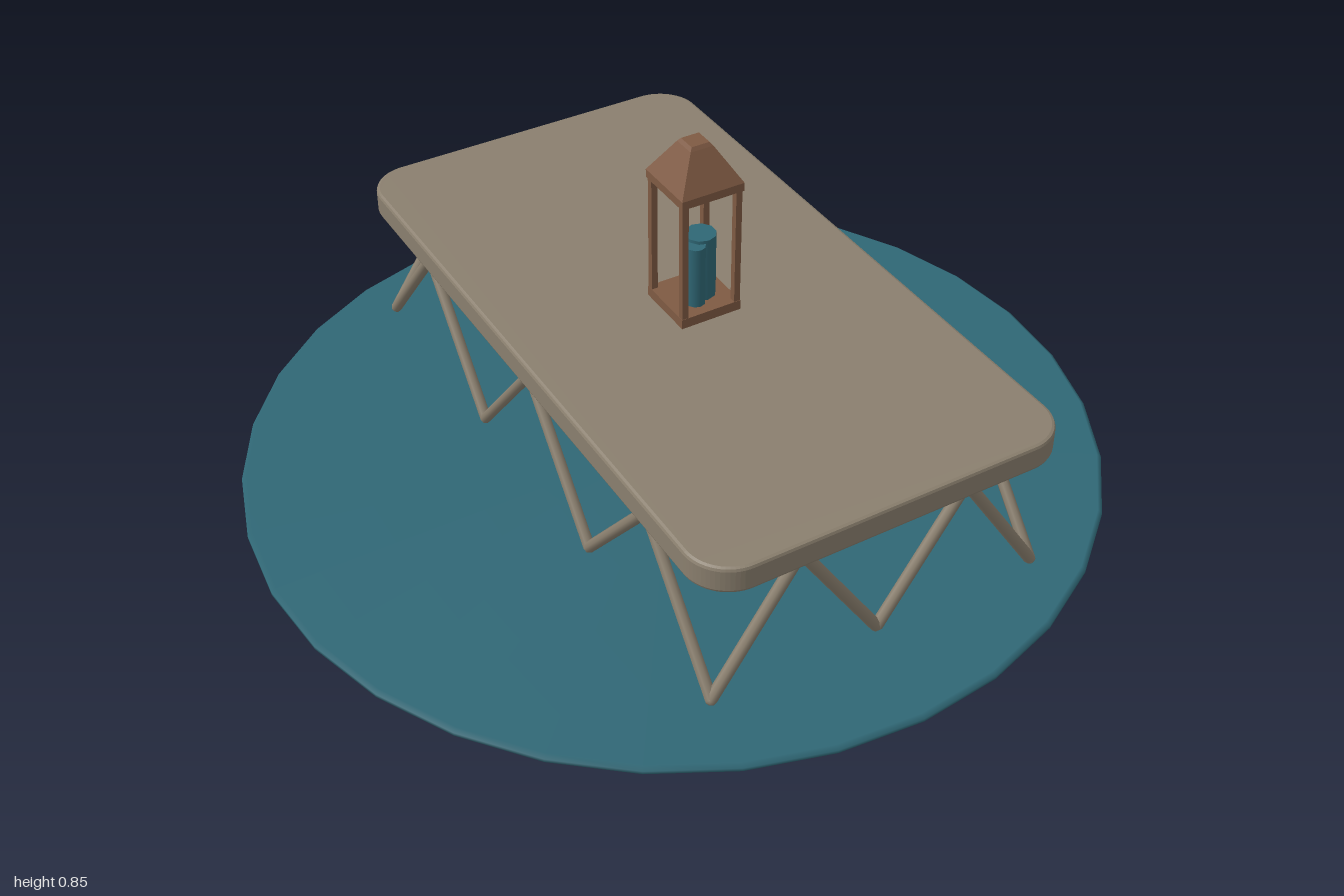
import * as THREE from 'three';

const material = (name, color) => {
  const m = new THREE.MeshStandardMaterial({ color });
  m.name = name;
  return m;
};

export function createModel() {
  const teal = material('teal', 0x2f6775);
  const taupe = material('taupe', 0x8a7f6e);
  const copper = material('copper brown', 0x7f5a43);
  const model = new THREE.Group();
  model.name = 'tableWithLantern';

  const add = (parent, name, geometry, mat, x = 0, y = 0, z = 0) => {
    const mesh = new THREE.Mesh(geometry, mat);
    mesh.name = name;
    mesh.position.set(x, y, z);
    parent.add(mesh);
    return mesh;
  };

  // Round rug with a softened rim
  const rugProfile = [[0, 0], [0.99, 0], [1, 0.007], [1, 0.015], [0.99, 0.022], [0, 0.022]]
    .map(([x, y]) => new THREE.Vector2(x, y));
  add(model, 'rug', new THREE.LatheGeometry(rugProfile, 32), teal);

  // Table top: rounded rectangle with a small bevel
  const table = new THREE.Group();
  table.name = 'table';
  table.position.set(0.05, 0, -0.013);
  model.add(table);
  const bevel = 0.008, w = 0.44 - bevel, d = 0.817 - bevel, r = 0.092;
  const outline = new THREE.Shape();
  outline.absarc(w - r, d - r, r, 0, Math.PI / 2);
  outline.absarc(-w + r, d - r, r, Math.PI / 2, Math.PI);
  outline.absarc(-w + r, -d + r, r, Math.PI, Math.PI * 1.5);
  outline.absarc(w - r, -d + r, r, Math.PI * 1.5, Math.PI * 2);
  const top = new THREE.ExtrudeGeometry(outline, {
    depth: 0.064 - 2 * bevel, bevelEnabled: true, bevelSize: bevel,
    bevelThickness: bevel, bevelSegments: 2, curveSegments: 8,
  });
  top.rotateX(-Math.PI / 2);
  add(table, 'tableTop', top, taupe, 0, 0.354 + bevel, 0);

  // Zigzag legs: bars running between low and high points along each side
  const rod = (a, b) => {
    const dir = b.clone().sub(a);
    const mesh = add(table, 'legBar', new THREE.CylinderGeometry(0.0135, 0.0135, dir.length(), 8), taupe);
    mesh.position.copy(a).add(b).multiplyScalar(0.5);
    mesh.quaternion.setFromUnitVectors(new THREE.Vector3(0, 1, 0), dir.normalize());
  };
  const zigzag = (start, end, count) => {
    const points = [];
    for (let i = 0; i <= count; i++) {
      const p = start.clone().lerp(end, i / count);
      p.y = i % 2 ? 0.346 : 0.04;
      points.push(p);
    }
    for (let i = 0; i < count; i++) rod(points[i], points[i + 1]);
  };
  const lx = 0.405, lz = 0.771;
  for (const s of [-1, 1]) {
    zigzag(new THREE.Vector3(-lx, 0, s * lz), new THREE.Vector3(lx, 0, s * lz), 4);
    zigzag(new THREE.Vector3(s * lx, 0, -lz), new THREE.Vector3(s * lx, 0, lz), 6);
    for (const t of [-1, 1])
      add(table, 'foot', new THREE.SphereGeometry(0.0135, 8, 6), taupe, s * lx, 0.04, t * lz);
  }

  // Lantern frame: base, four posts and a pyramid roof
  const lantern = new THREE.Group();
  lantern.name = 'lantern';
  lantern.position.set(0.04, 0.42, 0.026);
  model.add(lantern);
  add(lantern, 'lanternBase', new THREE.BoxGeometry(0.15, 0.024, 0.15), copper, 0, 0.014, 0);
  for (const x of [-1, 1]) for (const z of [-1, 1])
    add(lantern, 'lanternPost', new THREE.BoxGeometry(0.015, 0.3, 0.015), copper, x * 0.0665, 0.17, z * 0.0665);
  add(lantern, 'roofRim', new THREE.BoxGeometry(0.154, 0.02, 0.154), copper, 0, 0.325, 0);
  // Square frustum; corner radius is half width times root two
  const frustum = (topHalf, bottomHalf, h) => {
    const g = new THREE.CylinderGeometry(topHalf * Math.SQRT2, bottomHalf * Math.SQRT2, h, 4);
    g.rotateY(Math.PI / 4);
    const flat = g.toNonIndexed();
    flat.computeVertexNormals();
    return flat;
  };
  add(lantern, 'roof', frustum(0.028, 0.077, 0.082), copper, 0, 0.376, 0);
  add(lantern, 'roofCap', frustum(0.022, 0.028, 0.008), copper, 0, 0.421, 0);

  // Candles
  const candle = (x, z, radius, h) =>
    add(lantern, 'candle', new THREE.CylinderGeometry(radius, radius, h, 10), teal, x, 0.025 + h / 2, z);
  candle(0.014, 0.002, 0.036, 0.16);
  candle(-0.014, 0.03, 0.022, 0.152);

  return model;
}
